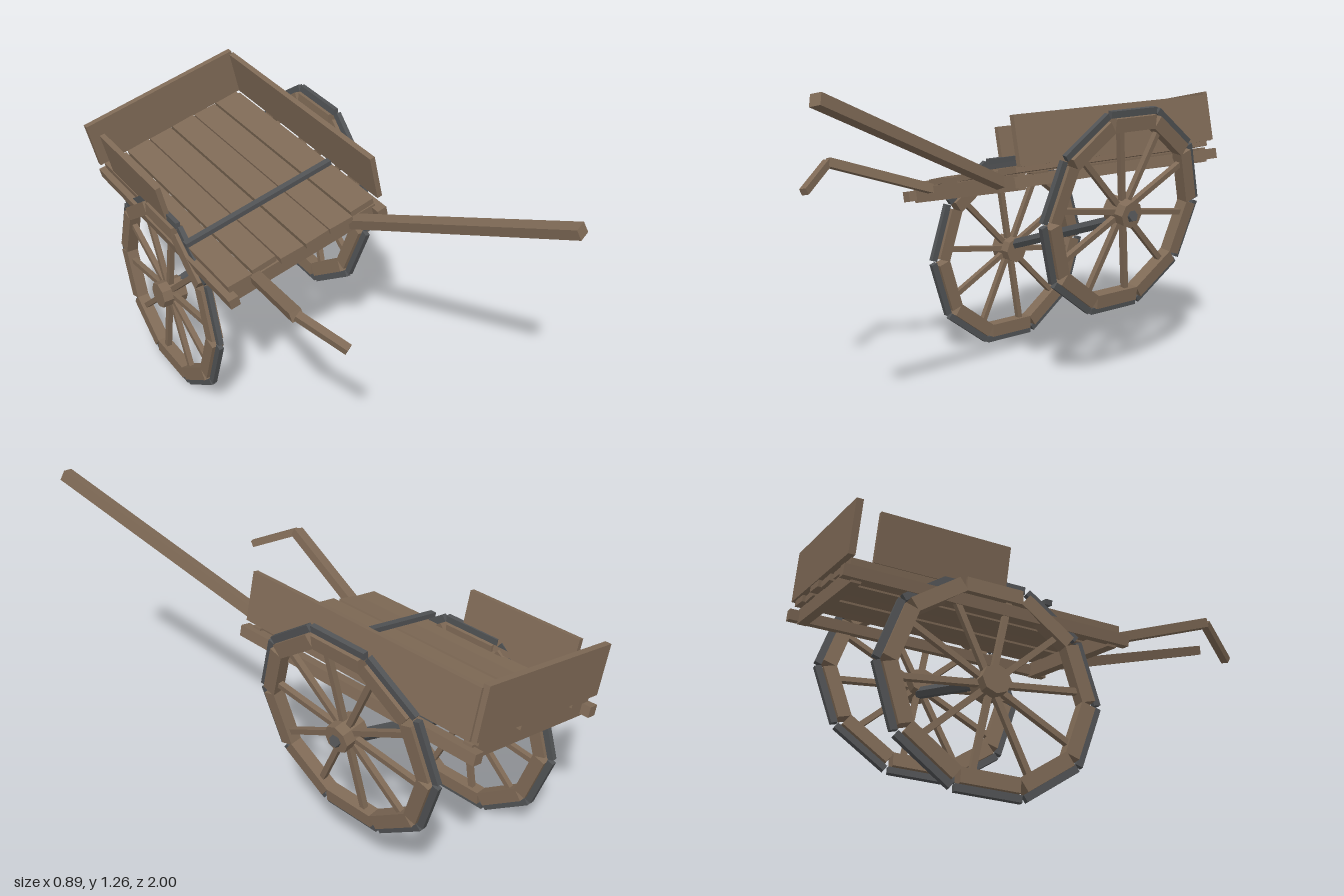
import * as THREE from 'three';

const wood = new THREE.MeshStandardMaterial({ color: 0x7f6a56 });
wood.name = 'weathered wood';
const iron = new THREE.MeshStandardMaterial({ color: 0x515355 });
iron.name = 'dark iron';

function box(parent, name, mat, size, pos) {
  const mesh = new THREE.Mesh(new THREE.BoxGeometry(...size), mat);
  mesh.name = name;
  mesh.position.set(...pos);
  parent.add(mesh);
  return mesh;
}

// Square timber between two points
function timber(parent, name, a, b, w, h) {
  const p = new THREE.Vector3(...a), q = new THREE.Vector3(...b);
  const mesh = box(parent, name, wood, [w, h, p.distanceTo(q)], [0, 0, 0]);
  const z = q.clone().sub(p).normalize();
  const x = new THREE.Vector3(0, 1, 0).cross(z).normalize();
  mesh.quaternion.setFromRotationMatrix(new THREE.Matrix4().makeBasis(x, z.clone().cross(x), z));
  mesh.position.copy(p).add(q).multiplyScalar(0.5);
  return mesh;
}

// Ten-sided wheel turning about x
function makeWheel(name) {
  const wheel = new THREE.Group();
  wheel.name = name;
  const hub = new THREE.Mesh(new THREE.CylinderGeometry(0.055, 0.055, 0.107, 8).toNonIndexed(), wood);
  hub.geometry.computeVertexNormals();
  hub.geometry.rotateX(0);
  hub.rotation.z = Math.PI / 2;
  hub.name = 'hub';
  wheel.add(hub);
  for (let i = 0; i < 10; i++) {
    const sector = new THREE.Group();
    sector.name = 'wheelSector';
    sector.rotation.x = (i * Math.PI) / 5;
    box(sector, 'rimSegment', wood, [0.05, 0.055, 0.218], [0, 0.355, 0]);
    box(sector, 'tyreSegment', iron, [0.02, 0.027, 0.245], [0, 0.396, 0]);
    // Spokes stand slightly off the segment centres
    const spokeArm = new THREE.Group();
    spokeArm.name = 'spokeArm';
    spokeArm.rotation.x = 0.18;
    box(spokeArm, 'spoke', wood, [0.022, 0.3, 0.022], [0, 0.19, 0]);
    sector.add(spokeArm);
    wheel.add(sector);
  }
  return wheel;
}

export function createModel() {
  const cart = new THREE.Group();
  cart.name = 'brokenCart';

  // Wheels: one upright and low, one leaning and raised
  const rightWheel = makeWheel('rightWheel');
  rightWheel.position.set(-0.377, 0.412, -0.445);
  const leftWheel = makeWheel('leftWheel');
  leftWheel.position.set(0.311, 0.69, -0.445);
  leftWheel.rotation.z = -0.11;
  cart.add(rightWheel, leftWheel);

  // Axle slanting between the hubs
  const a = new THREE.Vector3(-0.4, 0.417, -0.445), b = new THREE.Vector3(0.372, 0.683, -0.445);
  const axleGeo = new THREE.CylinderGeometry(0.024, 0.024, a.distanceTo(b), 6).toNonIndexed();
  axleGeo.computeVertexNormals();
  const axle = new THREE.Mesh(axleGeo, iron);
  axle.name = 'axle';
  axle.position.copy(a).add(b).multiplyScalar(0.5);
  axle.rotation.z = Math.atan2(b.y - a.y, b.x - a.x) - Math.PI / 2;
  cart.add(axle);

  // Tilted bed
  const bed = new THREE.Group();
  bed.name = 'bed';
  bed.position.set(-0.045, 0.785, 0);
  bed.rotation.z = 0.226;
  cart.add(bed);
  for (const s of [-1, 1]) box(bed, 'sideRail', wood, [0.042, 0.042, 1.1], [s * 0.34, 0, -0.447]);
  for (const z of [0.048, -0.942]) box(bed, 'crossBeam', wood, [0.67, 0.06, 0.036], [0, 0, z]);

  // Uneven floor planks: front end, back end, height
  const planks = [
    [0.07, -0.97, 0.04], [0.062, -0.965, 0.046], [0.085, -0.975, 0.041],
    [0.09, -0.985, 0.047], [0.085, -0.97, 0.041], [0.065, -0.98, 0.046],
  ];
  planks.forEach(([front, back, y], i) => {
    const plank = box(bed, 'floorPlank', wood, [0.105, 0.025, front - back],
      [-0.284 + i * 0.1125, y, (front + back) / 2]);
    plank.rotation.z = i % 2 ? 0.03 : -0.03;
  });

  // Boards and cross strap
  box(bed, 'tailBoard', wood, [0.715, 0.2, 0.025], [0.002, 0.158, -0.976]);
  box(bed, 'leftSideBoard', wood, [0.022, 0.19, 1.04], [0.358, 0.15, -0.447]);
  box(bed, 'rightSideBoard', wood, [0.022, 0.185, 0.49], [-0.323, 0.149, -0.645]);
  box(bed, 'crossStrap', iron, [0.68, 0.02, 0.026], [-0.005, 0.073, -0.232]);

  // Shafts, defined in cart space and attached to the tilted bed
  const local = (x, y, z) => {
    const v = new THREE.Vector3(x, y, z).sub(bed.position);
    return v.applyAxisAngle(new THREE.Vector3(0, 0, 1), -0.226).toArray();
  };
  timber(bed, 'leftShaft', local(0.172, 0.835, 0.045), local(0.413, 1.24, 0.985), 0.046, 0.042);
  const knee = local(-0.352, 0.895, 0.485);
  timber(bed, 'rightShaft', local(-0.258, 0.75, 0.045), knee, 0.045, 0.036);
  timber(bed, 'snappedShaftEnd', knee, local(-0.252, 0.815, 0.65), 0.03, 0.028);

  return cart;
}
